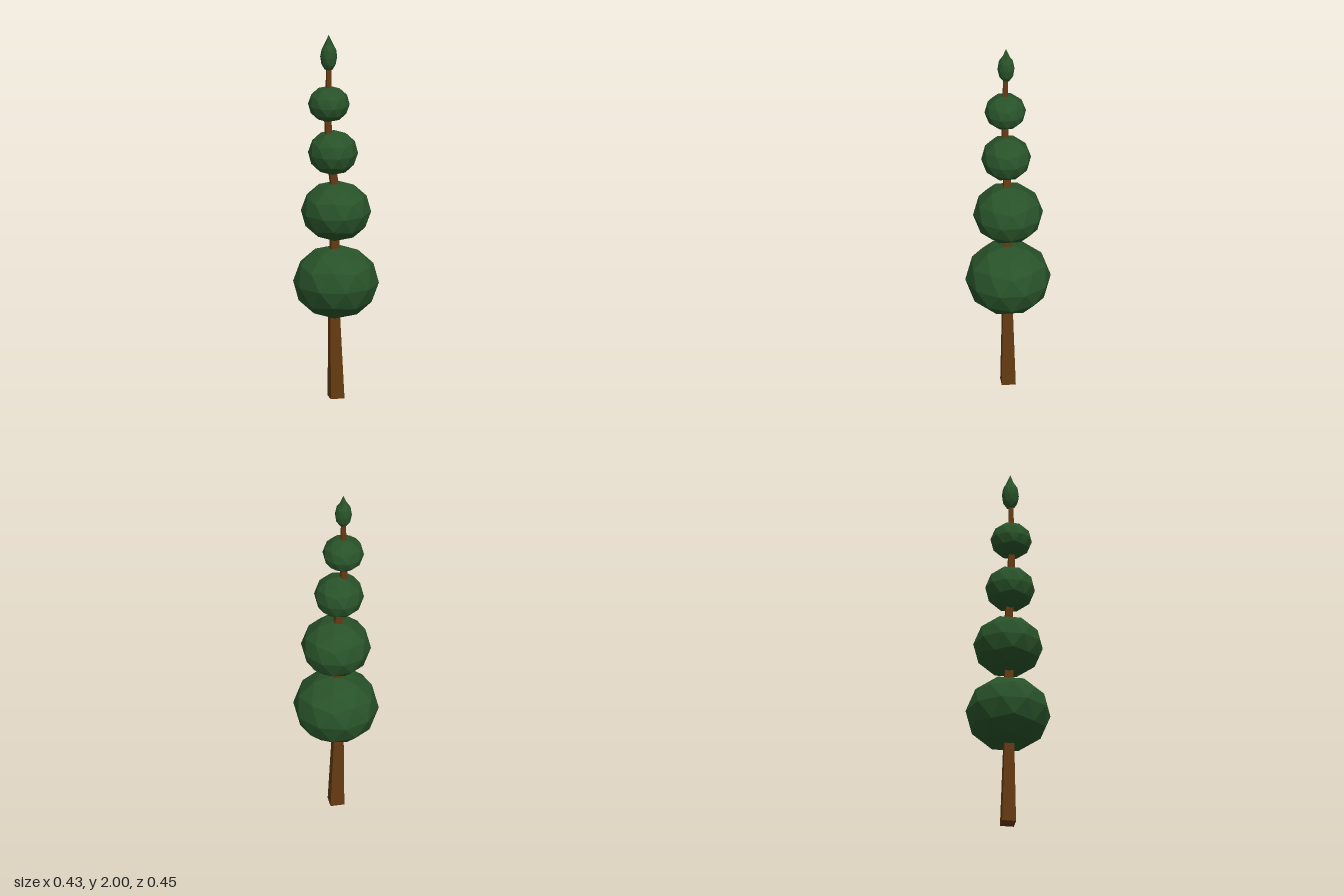
import * as THREE from 'three';

const leafMaterial = new THREE.MeshStandardMaterial({ color: 0x285229, flatShading: true });
const barkMaterial = new THREE.MeshStandardMaterial({ color: 0x643a12, flatShading: true });

// Faceted ball with one corner pointing straight up, squashed vertically.
function foliageGeometry(radius, halfHeight) {
  const geometry = new THREE.IcosahedronGeometry(1, 1);
  geometry.rotateZ(Math.atan(2 / (1 + Math.sqrt(5))));
  geometry.rotateY(Math.PI); // upper ring of corners points to +x
  geometry.scale(radius, halfHeight, radius);
  geometry.computeVertexNormals();
  return geometry;
}

// Square trunk that tapers and bends through rings of [y, x, z, half width].
function trunkGeometry(rings) {
  const steps = rings.length - 1;
  const geometry = new THREE.CylinderGeometry(Math.SQRT2, Math.SQRT2, steps, 4, steps);
  geometry.rotateY(Math.PI / 4);
  const p = geometry.attributes.position;
  for (let i = 0; i < p.count; i++) {
    const [y, x, z, half] = rings[Math.round(p.getY(i) + steps / 2)];
    p.setXYZ(i, x + p.getX(i) * half, y, z + p.getZ(i) * half);
  }
  geometry.computeVertexNormals();
  return geometry;
}

export function createModel() {
  const tree = new THREE.Group();
  tree.name = 'topiaryTree';

  const add = (name, geometry, material, x = 0, y = 0, z = 0) => {
    const mesh = new THREE.Mesh(geometry, material);
    mesh.name = name;
    mesh.position.set(x, y, z);
    tree.add(mesh);
  };

  // Trunk
  add('trunk', trunkGeometry([
    [0, 0, 0, 0.037],
    [0.44, -0.01, 0.002, 0.026],
    [0.85, -0.009, 0.002, 0.022],
    [1.17, -0.009, 0.002, 0.02],
    [1.3, -0.028, 0.005, 0.018],
    [1.45, -0.042, 0.01, 0.017],
    [1.58, -0.05, 0.01, 0.015],
    [1.7, -0.043, 0.01, 0.013],
    [1.85, -0.041, 0.008, 0.011],
  ]), barkMaterial);

  // Foliage balls: x, y, z, radius, half height
  const balls = [
    [0, 0.635, 0, 0.226, 0.196],
    [0, 1.025, 0, 0.185, 0.16],
    [-0.018, 1.35, 0.008, 0.132, 0.12],
    [-0.041, 1.62, 0.01, 0.11, 0.096],
  ];
  balls.forEach(([x, y, z, radius, half], i) =>
    add(`foliageBall${i + 1}`, foliageGeometry(radius, half), leafMaterial, x, y, z));

  // Pointed bud: a small ball with its top corner pulled up
  const bud = foliageGeometry(0.045, 0.08);
  const p = bud.attributes.position;
  for (let i = 0; i < p.count; i++) if (p.getY(i) > 0.075) p.setY(i, 0.12);
  bud.computeVertexNormals();
  add('topBud', bud, leafMaterial, -0.041, 1.88, 0.006);

  return tree;
}
